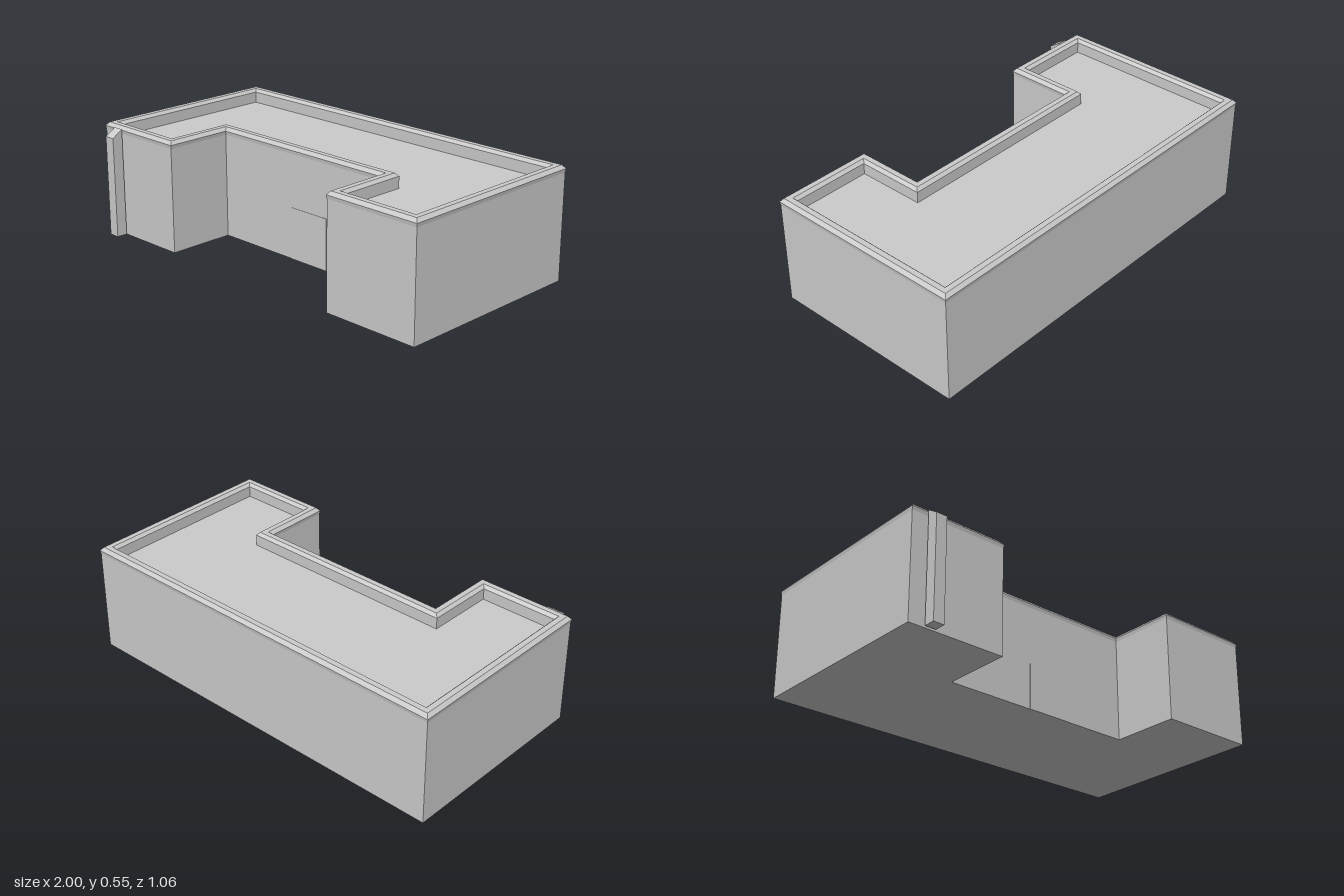
import * as THREE from 'three';

const material = new THREE.MeshStandardMaterial({ color: 0xcccccc });

// U-shaped plan as [x, z], walking with the outside on the right-hand side of the plan
const OUTLINE = [
  [-1, 0.47], [-0.505, 0.47], [-0.505, 0.13], [0.5, 0.13],
  [0.5, 0.47], [1, 0.47], [1, -0.53], [-1, -0.53],
];

// Plan moved inwards by t with square mitred corners
function inset(t) {
  const n = OUTLINE.length;
  const normal = (i) => {
    const a = OUTLINE[(i + n) % n], b = OUTLINE[(i + 1) % n];
    return [-Math.sign(b[1] - a[1]), Math.sign(b[0] - a[0])];
  };
  return OUTLINE.map(([x, z], i) => {
    const p = normal(i - 1), q = normal(i);
    return [x - t * (p[0] + q[0]), z - t * (p[1] + q[1])];
  });
}

// Sweep a profile of [inset, height] pairs around the plan
function sweep(profile) {
  const rings = profile.map(([t, y]) => inset(t).map(([x, z]) => [x, y, z]));
  const pos = [];
  for (let r = 0; r < rings.length - 1; r++) {
    for (let i = 0; i < OUTLINE.length; i++) {
      const j = (i + 1) % OUTLINE.length;
      const a = rings[r][i], b = rings[r][j], c = rings[r + 1][j], d = rings[r + 1][i];
      pos.push(...a, ...b, ...c, ...a, ...c, ...d);
    }
  }
  const g = new THREE.BufferGeometry();
  g.setAttribute('position', new THREE.Float32BufferAttribute(pos, 3));
  g.computeVertexNormals();
  return g;
}

// Flat slab filling the plan, facing up (1) or down (-1)
function cap(t, y, facing) {
  const shape = new THREE.Shape(inset(t).map(([x, z]) => new THREE.Vector2(x, -facing * z)));
  return new THREE.ShapeGeometry(shape).rotateX(-facing * Math.PI / 2).translate(0, y, 0);
}

// Square downpipe in three sections whose joints and top slope towards the front
function downpipeGeometry() {
  const frontY = [0.005, 0.17, 0.338, 0.505];
  const backY = [0.005, 0.185, 0.363, 0.54];
  const g = new THREE.BoxGeometry(0.055, 3, 0.055, 1, 3, 1).toNonIndexed();
  const p = g.attributes.position;
  for (let i = 0; i < p.count; i++) {
    const k = Math.round(p.getY(i) + 1.5);
    p.setY(i, p.getZ(i) > 0 ? frontY[k] : backY[k]);
  }
  g.computeVertexNormals();
  return g.translate(-0.892, 0, 0.503);
}

export function createModel() {
  const model = new THREE.Group();
  model.name = 'building';
  const add = (name, geometry) => {
    const mesh = new THREE.Mesh(geometry, material);
    mesh.name = name;
    model.add(mesh);
    return mesh;
  };

  add('walls', sweep([[0.003, 0], [0.003, 0.515]]));
  add('base', cap(0.003, 0, -1));
  add('roofDeck', cap(0.056, 0.48, 1));

  // Bevelled parapet, slightly proud of the walls, dropping to the deck inside
  add('parapet', sweep([
    [0.003, 0.515], [0, 0.533], [0.015, 0.55], [0.042, 0.55], [0.056, 0.535], [0.056, 0.48],
  ]));

  // Door at the back of the courtyard
  add('door', new THREE.BoxGeometry(0.228, 0.255, 0.006)).position.set(0.055, 0.1275, 0.126);

  add('downpipe', downpipeGeometry());
  return model;
}
